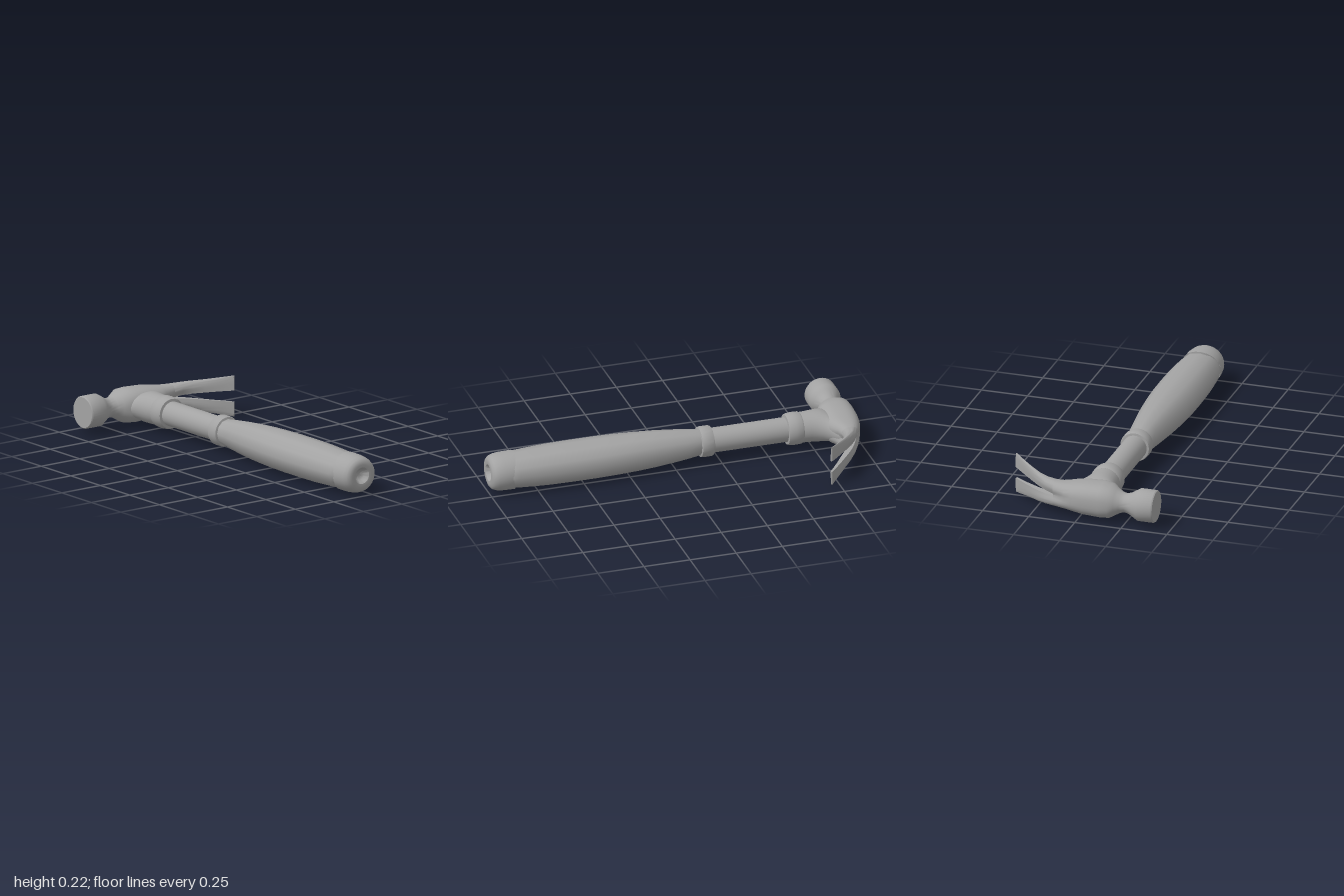
import * as THREE from 'three';
import { toCreasedNormals } from 'three/addons/utils/BufferGeometryUtils.js';

const CX = -0.065; // handle axis
const CY = 0.112;
const steel = new THREE.MeshStandardMaterial({ color: 0xa3a3a3 });
steel.name = 'plain grey';

function part(name, geometry, crease = 0.7) {
  const mesh = new THREE.Mesh(toCreasedNormals(geometry, crease), steel);
  mesh.name = name;
  return mesh;
}

// Skins a list of closed loops (counter-clockwise about the travel direction) and caps both ends
function loft(loops) {
  const n = loops[0].length, pos = [], index = [];
  loops.forEach(l => l.forEach(p => pos.push(...p)));
  for (let i = 0; i < loops.length - 1; i++) {
    for (let j = 0; j < n; j++) {
      const a = i * n + j, b = i * n + (j + 1) % n;
      index.push(a, b, a + n, b, b + n, a + n);
    }
  }
  [0, loops.length - 1].forEach((row, end) => {
    const c = pos.length / 3;
    pos.push(...[0, 1, 2].map(k => loops[row].reduce((s, p) => s + p[k], 0) / n));
    for (let j = 0; j < n; j++) {
      const a = row * n + j, b = row * n + (j + 1) % n;
      if (end) index.push(c, a, b);
      else index.push(c, b, a);
    }
  });
  const g = new THREE.BufferGeometry();
  g.setAttribute('position', new THREE.Float32BufferAttribute(pos, 3));
  g.setIndex(index);
  return g;
}

const power = (v, e) => Math.sign(v) * Math.abs(v) ** e;

// Turned piece along the handle; profile rows are [z, radius]
function turned(profile, segments = 32) {
  const pts = profile.map(([z, r]) => new THREE.Vector2(r, z));
  return new THREE.LatheGeometry(pts, segments).rotateX(Math.PI / 2);
}

function deform(geometry, rule) {
  const p = geometry.attributes.position;
  for (let i = 0; i < p.count; i++) {
    p.setXYZ(i, ...rule(p.getX(i), p.getY(i), p.getZ(i)));
  }
  return geometry;
}

function buildHandle() {
  const handle = new THREE.Group();
  handle.name = 'handle';
  handle.position.set(CX, CY, 0);

  handle.add(part('shaft', turned([[-0.72, 0.065], [-0.15, 0.065]])));

  // Rings at the head socket and at the start of the grip
  handle.add(part('headCollar', turned([
    [-0.695, 0.06], [-0.693, 0.08], [-0.685, 0.085], [-0.65, 0.086],
    [-0.625, 0.083], [-0.613, 0.079], [-0.61, 0.06]])));
  handle.add(part('gripCollar', turned([
    [-0.21, 0.06], [-0.208, 0.077], [-0.2, 0.081], [-0.155, 0.081],
    [-0.143, 0.078], [-0.138, 0.06]])));

  // Grip: swells and flattens toward the middle
  const grip = turned([
    [-0.145, 0.068], [-0.07, 0.079], [0, 0.088], [0.1, 0.1], [0.2, 0.11], [0.3, 0.118],
    [0.42, 0.124], [0.55, 0.125], [0.68, 0.123], [0.78, 0.118], [0.86, 0.112], [0.895, 0.108]], 12);
  deform(grip, (x, y, z) => [x, y * (1 - 0.17 * THREE.MathUtils.smoothstep(z, -0.15, 0.5)), z]);
  handle.add(part('grip', grip));

  // End cap with curved front edge and a dimple
  const cap = turned([
    [0.89, 0.085], [0.89, 0.106], [0.93, 0.105], [0.965, 0.1], [0.985, 0.092], [0.996, 0.08],
    [1, 0.062], [0.998, 0.046], [0.988, 0.037], [0.975, 0.03], [0.968, 0.016], [0.966, 0]]);
  deform(cap, (x, y, z) => {
    const lift = z < 0.9 ? 0.03 * y * y / (x * x + y * y) : 0;
    return [x, y * 0.95, z - lift];
  });
  handle.add(part('endCap', cap));
  return handle;
}

function buildHead() {
  const head = new THREE.Group();
  head.name = 'head';

  // Shallow groove leading into the claw slot
  const groove = (u, depth) => 1 - depth * Math.exp(-((u / 0.3) ** 2));

  // Striking face, neck, cheeks and claw root: [x, zBack, zFront, half height, squareness, groove]
  const body = [
    [-0.415, -0.991, -0.833, 0.081, 2, 0],
    [-0.409, -0.996, -0.828, 0.086, 2, 0],
    [-0.325, -0.996, -0.828, 0.086, 2, 0],
    [-0.3, -0.984, -0.842, 0.071, 2, 0],
    [-0.275, -0.97, -0.856, 0.056, 2, 0],
    [-0.25, -0.964, -0.861, 0.05, 2, 0],
    [-0.225, -0.971, -0.852, 0.056, 2, 0],
    [-0.2, -0.986, -0.835, 0.07, 2.1, 0],
    [-0.17, -0.999, -0.815, 0.087, 2.4, 0],
    [-0.12, -1, -0.8, 0.09, 2.6, 0],
    [-0.03, -0.996, -0.8, 0.086, 2.6, 0],
    [0.03, -0.987, -0.803, 0.077, 2.6, 0],
    [0.07, -0.976, -0.823, 0.071, 2.6, 0.08],
    [0.1, -0.965, -0.838, 0.069, 2.6, 0.2],
    [0.14, -0.946, -0.846, 0.069, 2.6, 0.35]];
  head.add(part('headBody', loft(body.map(([x, z0, z1, ry, n, g]) =>
    Array.from({ length: 40 }, (_, j) => {
      const t = j / 40 * Math.PI * 2;
      const c = power(Math.cos(t), 2 / n), s = power(Math.sin(t), 2 / n);
      return [x, CY + ry * c, (z0 + z1) / 2 + (z1 - z0) / 2 * s * groove(c, g)];
    })))));

  // Two claw prongs: [x, zBack, zFront, inner y, outer y, groove]
  const prong = [
    [0.14, -0.946, -0.846, 0.004, 0.069, 0.35],
    [0.19, -0.917, -0.844, 0.009, 0.073, 0.35],
    [0.24, -0.878, -0.826, 0.014, 0.079, 0.3],
    [0.29, -0.832, -0.792, 0.019, 0.086, 0.22],
    [0.34, -0.785, -0.757, 0.024, 0.095, 0.15],
    [0.385, -0.742, -0.723, 0.028, 0.104, 0.05],
    [0.409, -0.718, -0.704, 0.03, 0.109, 0],
    [0.415, -0.712, -0.706, 0.031, 0.109, 0]];
  for (const side of [1, -1]) {
    const loops = prong.map(([x, z0, z1, yi, yo, g]) => {
      const loop = Array.from({ length: 21 }, (_, j) => {
        const t = (j / 20 - 0.5) * Math.PI;
        const c = power(Math.cos(t), 2 / 2.6), s = power(Math.sin(t), 2 / 2.6);
        return [x, CY + side * (yi + (yo - yi) * c), (z0 + z1) / 2 + (z1 - z0) / 2 * s * groove(c, g)];
      });
      return side > 0 ? loop : loop.reverse();
    });
    head.add(part(side > 0 ? 'upperProng' : 'lowerProng', loft(loops)));
  }

  // Socket flaring from the collar into the head: [z, xMin, xMax, half height]
  const socket = [
    [-0.9, -0.185, 0.12, 0.05],
    [-0.855, -0.187, 0.115, 0.06],
    [-0.835, -0.181, 0.085, 0.07],
    [-0.815, -0.173, 0.056, 0.077],
    [-0.79, -0.162, 0.038, 0.081],
    [-0.76, -0.153, 0.026, 0.082],
    [-0.73, -0.148, 0.019, 0.081],
    [-0.685, -0.145, 0.015, 0.079]];
  head.add(part('socket', loft(socket.map(([z, x0, x1, ry]) =>
    Array.from({ length: 32 }, (_, j) => {
      const t = j / 32 * Math.PI * 2;
      return [(x0 + x1) / 2 + (x1 - x0) / 2 * Math.cos(t), CY + ry * Math.sin(t), z];
    })))));
  return head;
}

export function createModel() {
  const hammer = new THREE.Group();
  hammer.name = 'clawHammer';
  hammer.add(buildHandle(), buildHead());
  return hammer;
}
